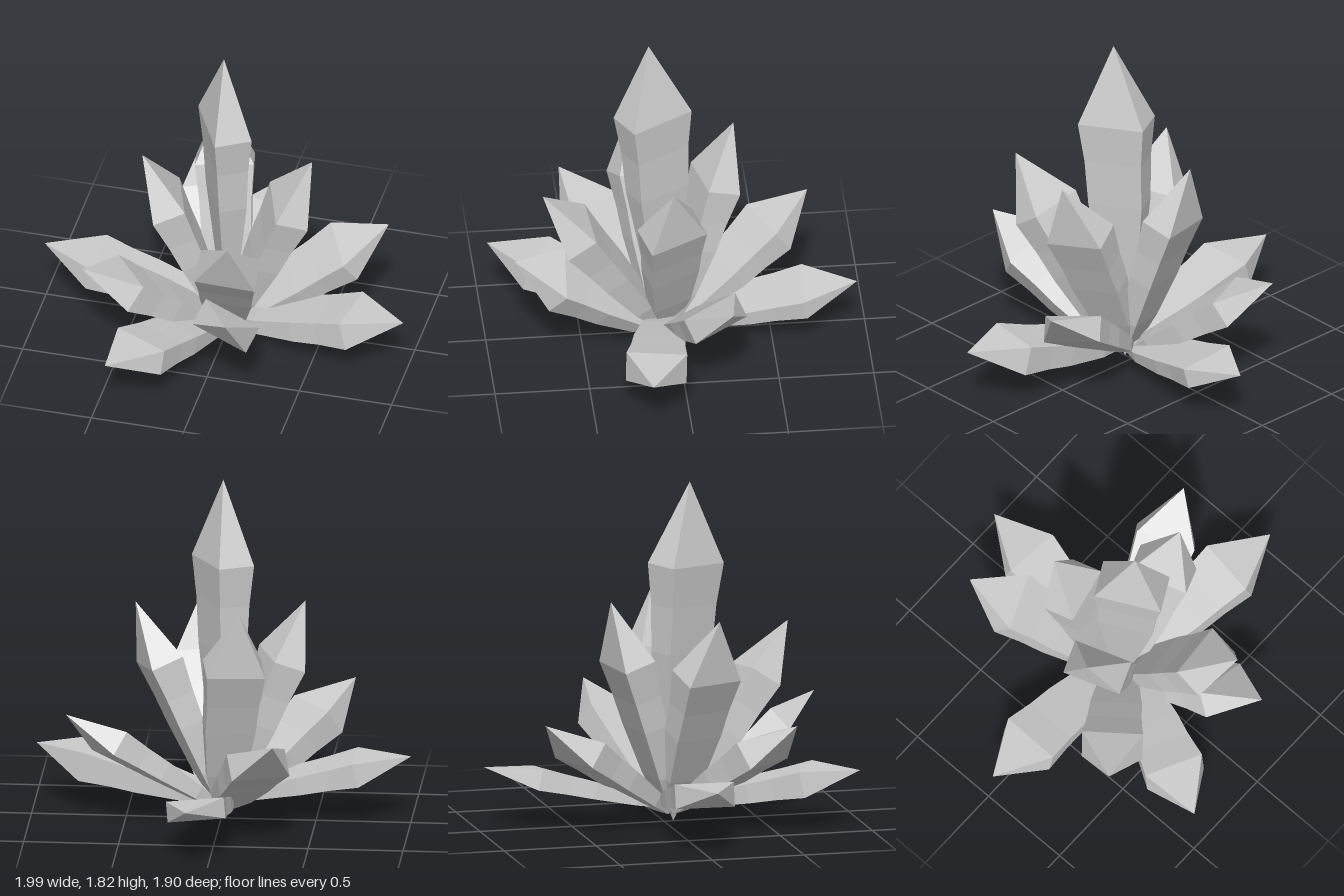
import * as THREE from 'three';

// Silhouette of a crystal of unit length: [share of full width, height]
const tallProfile = [[0, 0], [0.22, 0.05], [0.52, 0.25], [0.82, 0.5], [0.87, 0.64], [1, 0.76], [0, 1]];
const sideProfile = [[0, 0], [0.36, 0.05], [0.66, 0.19], [0.85, 0.42], [0.89, 0.56], [1, 0.72], [0, 1]];

// name, base, tip, direction of the broad face, [width, thickness]
const crystals = [
  ['centreCrystal', [0, 0, 0.05], [0, 1.82, 0.14], [0.47, 0, 0.88], [0.36, 0.2]],

  // steep ring
  ['steepCrystalLeft', [0, 0.04, 0.04], [0.455, 1.165, 0.05], [0.3, -0.25, 0.95], [0.32, 0.18]],
  ['steepCrystalRight', [0, 0.04, 0.05], [-0.43, 1.15, 0.19], [0.33, 0, 0.94], [0.32, 0.18]],
  ['steepCrystalBack', [0, 0.04, 0.03], [-0.12, 1.22, -0.32], [0.97, 0, -0.2], [0.31, 0.18]],
  ['steepCrystalFront', [0, 0.04, 0.06], [0.165, 1.01, 0.715], [0.97, -0.1, -0.1], [0.32, 0.18]],

  // leaning ring
  ['leaningCrystalLeft', [0, 0.04, 0.03], [0.8, 0.62, -0.23], [0.42, -0.2, 0.88], [0.32, 0.14]],
  ['leaningCrystalFront', [0, 0.04, 0.05], [0.19, 0.62, 0.865], [0.95, -0.4, 0.05], [0.32, 0.15]],
  ['leaningCrystalRight', [0, 0.04, 0.04], [-0.665, 0.62, 0.55], [0.64, 0, 0.77], [0.32, 0.16]],
  ['leaningCrystalBack', [0, 0.04, 0.03], [-0.33, 0.62, -0.73], [0.92, 0, -0.39], [0.32, 0.15]],

  // nearly flat ring
  ['lowCrystalLeft', [0, 0.09, 0.06], [0.99, 0.325, 0.21], [-0.2, 0, 0.97], [0.32, 0.16]],
  ['lowCrystalFront', [0, 0.1, 0.06], [-0.44, 0.315, 0.95], [0.89, 0, 0.46], [0.32, 0.14]],
  ['lowCrystalRight', [0, 0.11, 0.04], [-1, 0.355, 0.03], [-0.05, 0, 1], [0.32, 0.13]],
  ['lowCrystalBack', [0, 0.08, 0.03], [0.11, 0.32, -0.95], [0.87, -0.2, 0.42], [0.31, 0.11]],
];

function makeCrystal(name, base, tip, broad, [width, thick], material) {
  const start = new THREE.Vector3(...base);
  const axis = new THREE.Vector3(...tip).sub(start);
  const length = axis.length();
  axis.normalize();

  // Four-sided faceted shaft with a pointed end
  const profile = name === 'centreCrystal' ? tallProfile : sideProfile;
  const points = profile.map(([r, h]) => new THREE.Vector2(r * Math.SQRT1_2, h * length));
  const geometry = new THREE.LatheGeometry(points, 4, Math.PI / 4).scale(width, 1, thick);

  // Thin the shaft towards its root
  const position = geometry.attributes.position;
  for (let i = 0; i < position.count; i++) {
    const rise = Math.min(1, position.getY(i) / length / 0.72);
    position.setZ(i, position.getZ(i) * (0.7 + 0.3 * rise));
  }

  // Lay the shaft along its axis with the broad face turned as given
  const across = new THREE.Vector3(...broad);
  across.addScaledVector(axis, -across.dot(axis)).normalize();
  const through = new THREE.Vector3().crossVectors(across, axis);
  geometry.applyMatrix4(new THREE.Matrix4().makeBasis(across, axis, through).setPosition(start));

  const mesh = new THREE.Mesh(geometry, material);
  mesh.name = name;
  return mesh;
}

export function createModel() {
  const group = new THREE.Group();
  group.name = 'crystalCluster';
  const material = new THREE.MeshStandardMaterial({ color: 0xcccccc, flatShading: true });
  for (const [name, base, tip, broad, size] of crystals) {
    group.add(makeCrystal(name, base, tip, broad, size, material));
  }
  return group;
}
